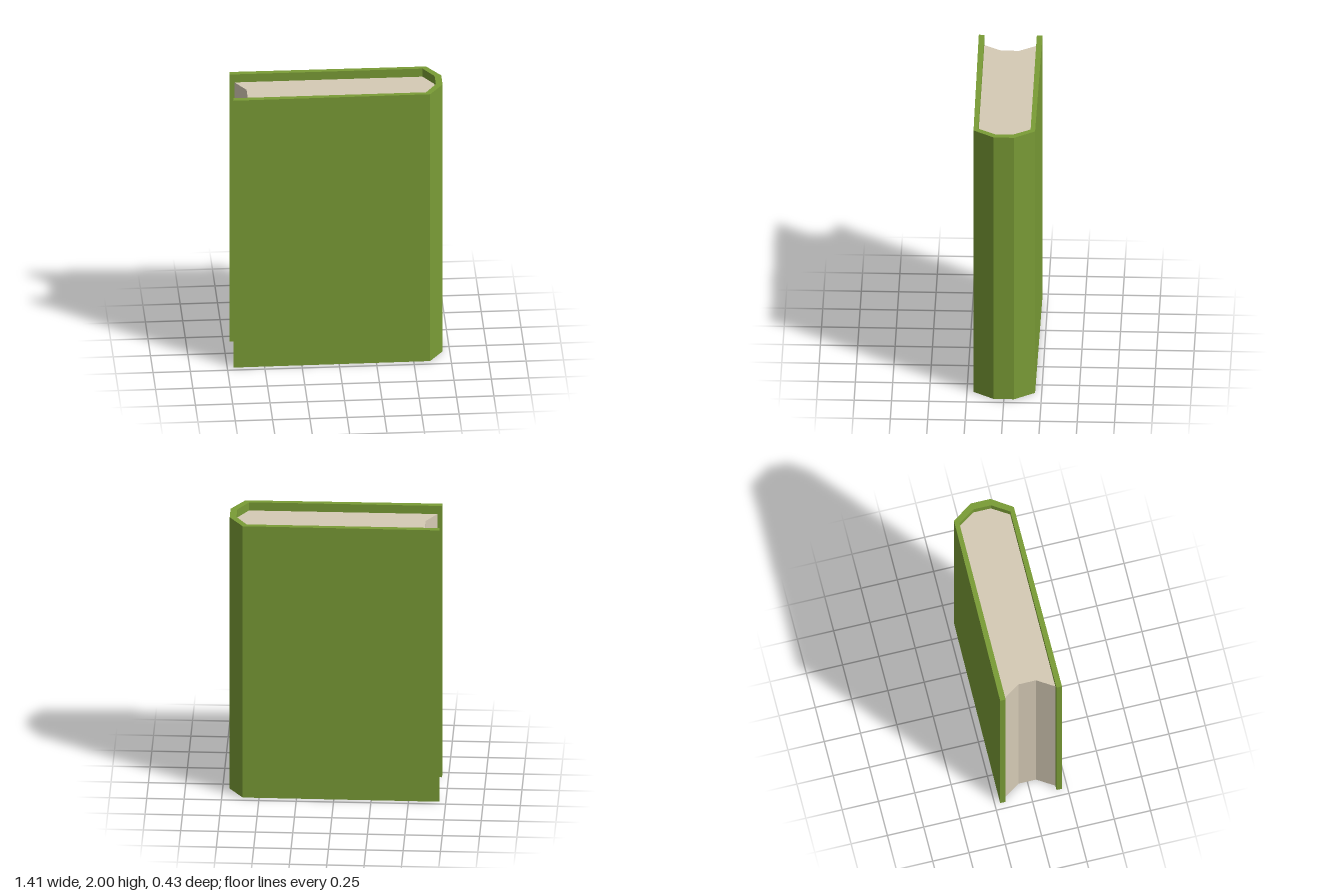
import * as THREE from 'three';

const green = new THREE.MeshStandardMaterial({ color: 0x7a9c36 });
green.name = 'green cover';
const cream = new THREE.MeshStandardMaterial({ color: 0xd5cab5 });
cream.name = 'cream paper';

// Extrudes a floor-plan outline [x, z] upward from the ground
function upright(name, outline, height, material) {
  const shape = new THREE.Shape(outline.map(([x, z]) => new THREE.Vector2(x, -z)));
  const geometry = new THREE.ExtrudeGeometry(shape, { depth: height, bevelEnabled: false });
  geometry.rotateX(-Math.PI / 2);
  const mesh = new THREE.Mesh(geometry, material);
  mesh.name = name;
  return mesh;
}

// Completes a half outline (z > 0) with its mirror image
const mirrored = (half) => [...half, ...half.map(([x, z]) => [x, -z]).reverse()];

export function createModel() {
  const book = new THREE.Group();
  book.name = 'book';

  // Boards and faceted spine: one continuous wrap, slightly flared at the open edge
  const outer = mirrored([[-0.707, 0.213], [0.61, 0.206], [0.703, 0.068]]);
  const inner = mirrored([[-0.707, 0.175], [0.585, 0.175], [0.658, 0.06]]);
  book.add(upright('cover', [...outer, ...inner.reverse()], 2, green));

  // Page block: rounded into the spine, hollow at the fore edge, sunk below the top
  const pages = mirrored([[-0.602, 0.06], [-0.675, 0.175], [0.585, 0.175], [0.658, 0.06]]);
  book.add(upright('pages', pages, 1.94, cream));

  return book;
}
